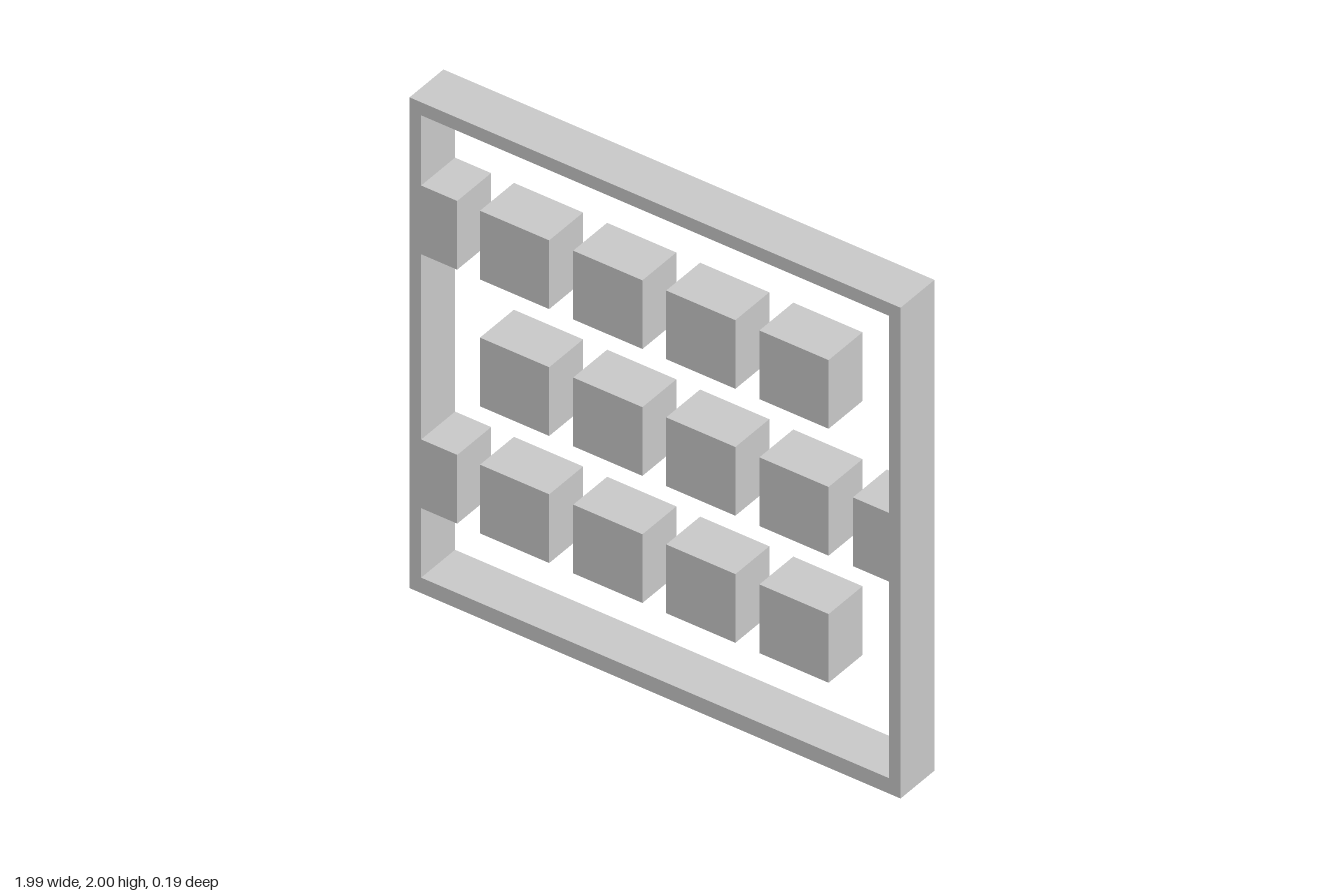
import * as THREE from 'three';

const DEPTH = 0.19;
const BLOCK = 0.28;
const ROWS = [0.486, 1.004, 1.521]; // row centres, bottom to top
const COLUMNS = [-0.568, -0.191, 0.185, 0.562];

const material = new THREE.MeshStandardMaterial({ color: 0xcccccc, flatShading: true });

function add(parent, geometry, name, x = 0, y = 0, z = 0) {
  const mesh = new THREE.Mesh(geometry, material);
  mesh.name = name;
  mesh.position.set(x, y, z);
  parent.add(mesh);
}

const points = (list) => list.map(([x, y]) => new THREE.Vector2(x, y));

// Square frame whose opening steps inward around the half blocks on its sides
function frameGeometry() {
  const W = 0.993, IN = 0.946, TAB = 0.8, LOW = 0.063, HIGH = 1.947;
  const h = BLOCK / 2;
  const tab = (side, y, dir) => [
    [side * IN, y - dir * h], [side * TAB, y - dir * h],
    [side * TAB, y + dir * h], [side * IN, y + dir * h],
  ];
  const shape = new THREE.Shape(points([[-W, 0], [W, 0], [W, 2], [-W, 2]]));
  shape.holes.push(new THREE.Path(points([
    [-IN, LOW], [IN, LOW],
    ...tab(1, ROWS[1], 1),
    [IN, HIGH], [-IN, HIGH],
    ...tab(-1, ROWS[2], -1),
    ...tab(-1, ROWS[0], -1),
  ])));
  return new THREE.ExtrudeGeometry(shape, { depth: DEPTH, bevelEnabled: false });
}

export function createModel() {
  const model = new THREE.Group();
  model.name = 'blockScreen';
  add(model, frameGeometry(), 'frame', 0, 0, -DEPTH / 2);

  // Free-standing blocks in a regular grid
  const blocks = new THREE.Group();
  blocks.name = 'blocks';
  const block = new THREE.BoxGeometry(BLOCK, BLOCK, DEPTH);
  ROWS.forEach((y, r) => COLUMNS.forEach((x, c) => {
    add(blocks, block, `blockRow${r + 1}Column${c + 1}`, x, y);
  }));
  model.add(blocks);
  return model;
}
